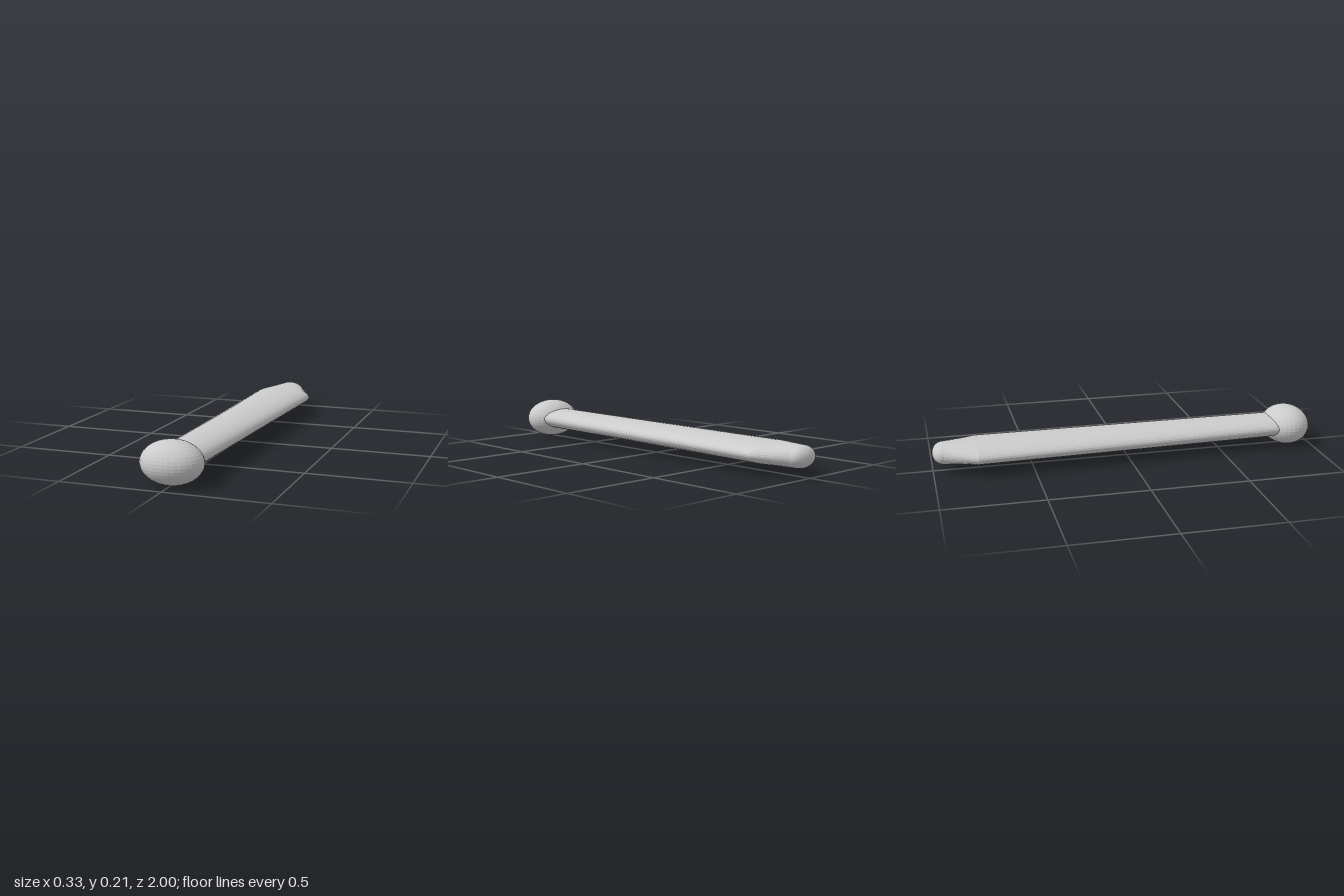
import * as THREE from 'three';

const SIDES = 40;
const axisY = (z) => 0.101 + 0.007 * z; // blade sinks slightly towards the tip

// One oval ring of half width w and half height h, counter-clockwise from +z.
function ring(z, w, h) {
  const pts = [];
  for (let i = 0; i < SIDES; i++) {
    const a = (Math.PI * 2 * i) / SIDES;
    pts.push([w * Math.cos(a), axisY(z) + h * Math.sin(a), z]);
  }
  return pts;
}

// Skin a list of rings that run from +z to -z, closing both ends.
function loft(rings) {
  const index = [];
  for (let k = 0; k < rings.length - 1; k++) {
    for (let i = 0; i < SIDES; i++) {
      const j = (i + 1) % SIDES;
      const a = k * SIDES + i, b = k * SIDES + j, c = a + SIDES, d = b + SIDES;
      index.push(a, c, b, b, c, d);
    }
  }
  const last = (rings.length - 1) * SIDES;
  for (let i = 1; i < SIDES - 1; i++) {
    index.push(0, i, i + 1);
    index.push(last, last + i + 1, last + i);
  }
  const geo = new THREE.BufferGeometry();
  geo.setAttribute('position', new THREE.Float32BufferAttribute(rings.flat(2), 3));
  geo.setIndex(index);
  geo.computeVertexNormals();
  return geo;
}

export function createModel() {
  const group = new THREE.Group();
  const material = new THREE.MeshStandardMaterial({ color: 0xcccccc, flatShading: true });
  const H = 0.055; // half thickness of the blade

  // Blade: widens towards the shoulder, tapers, then ends in a round nose
  const rings = [ring(0.85, 0.115, H), ring(-0.78, 0.163, H), ring(-0.945, 0.082, H)];
  const steps = 8;
  for (let i = 1; i <= steps; i++) {
    const a = (Math.PI / 2) * (i / steps);
    const c = Math.max(Math.cos(a), 0.01);
    rings.push(ring(-0.945 - H * Math.sin(a), 0.082 * c, H * c));
  }
  const blade = new THREE.Mesh(loft(rings), material);
  blade.name = 'blade';
  group.add(blade);

  // Oval knob at the front end
  const knobGeo = new THREE.SphereGeometry(1, 32, 20);
  knobGeo.scale(0.149, 0.103, 0.123);
  const knob = new THREE.Mesh(knobGeo, material);
  knob.name = 'knob';
  knob.position.set(0, 0.104, 0.877);
  group.add(knob);

  return group;
}
